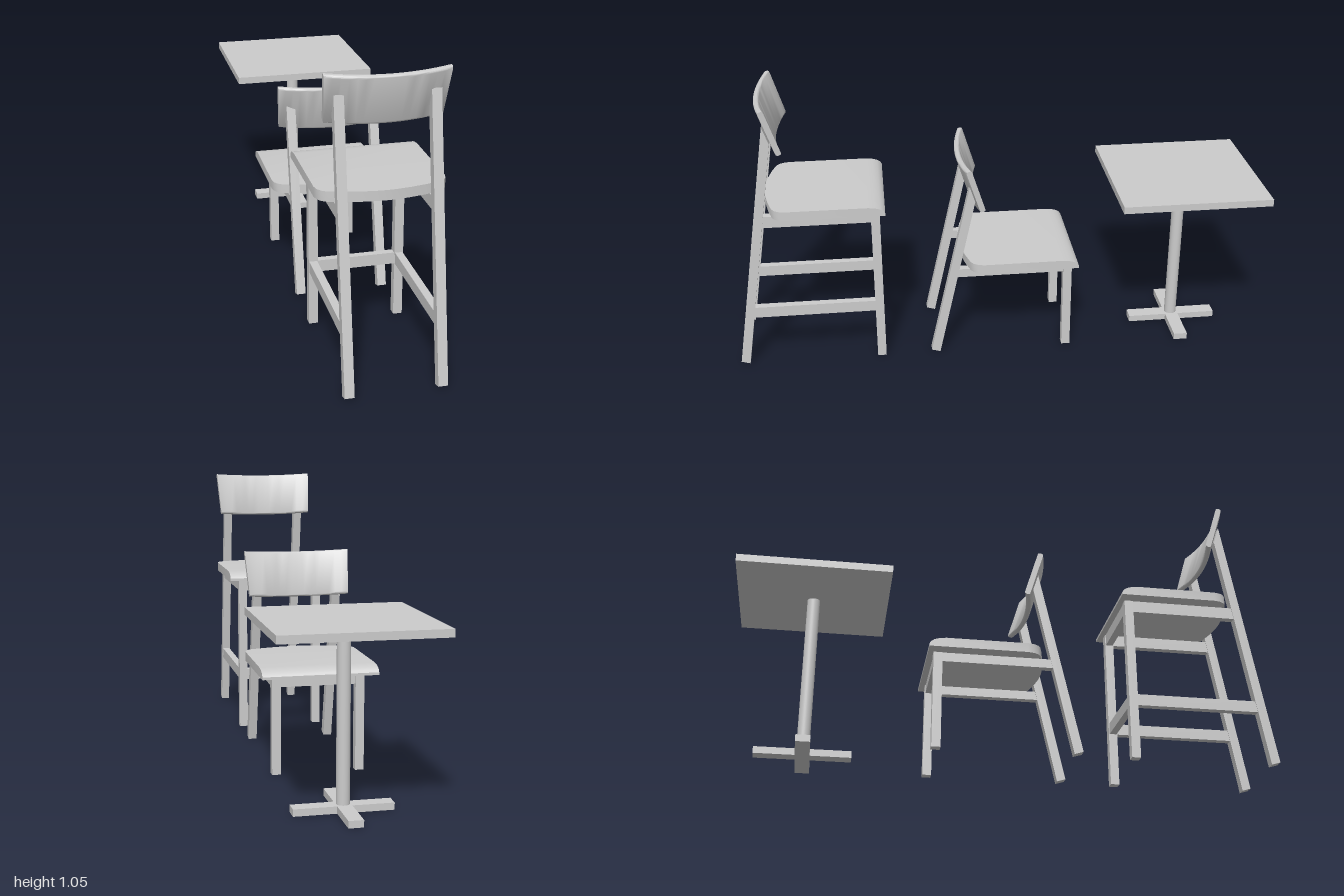
import * as THREE from 'three';
import { toCreasedNormals } from 'three/addons/utils/BufferGeometryUtils.js';

const material = new THREE.MeshStandardMaterial({ color: 0xcccccc });
const LEG = 0.033;        // leg thickness
const LEG_X = 0.174;      // outer face of the legs, from the chair's centre line

function add(parent, name, geometry, x = 0, y = 0, z = 0) {
  const mesh = new THREE.Mesh(geometry, material);
  mesh.name = name;
  mesh.position.set(x, y, z);
  parent.add(mesh);
  return mesh;
}

// Box given by its limits
function bar(parent, name, x0, x1, y0, y1, z0, z1) {
  return add(parent, name, new THREE.BoxGeometry(x1 - x0, y1 - y0, z1 - z0),
    (x0 + x1) / 2, (y0 + y1) / 2, (z0 + z1) / 2);
}

// Outline in (z, y), extruded across x and centred on x = 0
function extrudeAcross(shape, width, steps = 1) {
  const g = new THREE.ExtrudeGeometry(shape, { depth: width, steps, bevelEnabled: false, curveSegments: 4 });
  g.translate(0, 0, -width / 2);
  g.rotateY(-Math.PI / 2);
  g.scale(1, 1, 1);
  return g; // outline x now runs along z
}

// Seat: four-cornered sections from the waterfall front to the rounded back
function seatGeometry() {
  const rows = [ // z, half width, top height
    [0, 0.218, 0.01], [0.006, 0.218, 0.019], [0.018, 0.218, 0.027], [0.036, 0.218, 0.032],
    [0.06, 0.218, 0.035], [0.36, 0.218, 0.035], [0.382, 0.213, 0.035], [0.398, 0.203, 0.035],
    [0.409, 0.187, 0.035], [0.424, 0.135, 0.035], [0.435, 0.08, 0.035], [0.441, 0.03, 0.035], [0.442, 0, 0.035],
  ];
  const pos = [], idx = [];
  for (const [z, w, t] of rows) pos.push(-w, 0, z, w, 0, z, w, t, z, -w, t, z);
  for (let r = 0; r < rows.length - 1; r++) {
    for (let k = 0; k < 4; k++) {
      const a = r * 4 + k, b = r * 4 + (k + 1) % 4;
      idx.push(a, b, b + 4, a, b + 4, a + 4);
    }
  }
  idx.push(0, 2, 1, 0, 3, 2);
  const g = new THREE.BufferGeometry();
  g.setAttribute('position', new THREE.Float32BufferAttribute(pos, 3));
  g.setIndex(idx);
  return toCreasedNormals(g, 0.5);
}

// Backrest: rounded strip, bowed towards the sitter and narrower at the bottom
function backrestGeometry() {
  const h = 0.089, t = 0.0105, r = 0.009, half = 0.2;
  const s = new THREE.Shape();
  s.moveTo(-t + r, -h);
  s.lineTo(t - r, -h);
  s.quadraticCurveTo(t, -h, t, -h + r);
  s.lineTo(t, h - r);
  s.quadraticCurveTo(t, h, t - r, h);
  s.lineTo(-t + r, h);
  s.quadraticCurveTo(-t, h, -t, h - r);
  s.lineTo(-t, -h + r);
  s.quadraticCurveTo(-t, -h, -t + r, -h);
  const g = extrudeAcross(s, half * 2, 16);
  const p = g.attributes.position;
  for (let i = 0; i < p.count; i++) {
    const u = p.getX(i) / half;
    p.setX(i, p.getX(i) * (1 + 0.3 * p.getY(i)));
    p.setZ(i, p.getZ(i) - 0.028 * u * u);
  }
  g.rotateX(0.3);
  return toCreasedNormals(g, 0.6);
}

// Chair facing -z, with its seat front at z = 0
function createChair(name, { seatY, railY, foot, slope, stretcher }) {
  const chair = new THREE.Group();
  chair.name = name;
  add(chair, 'seat', seatGeometry(), -0.006, seatY, 0);
  add(chair, 'backrest', backrestGeometry(), 0, seatY + 0.328, 0.415);

  // Raked back legs, cut at a slant where they meet the backrest
  const topBack = seatY + 0.352, topFront = seatY + 0.285;
  const outline = new THREE.Shape([
    new THREE.Vector2(foot - LEG, 0),
    new THREE.Vector2(foot, 0.01),
    new THREE.Vector2(foot - slope * topBack, topBack),
    new THREE.Vector2(foot - LEG - slope * topFront, topFront),
  ]);
  const backAt = y => foot - LEG / 2 - slope * y; // middle of the back leg at height y
  const front = 0.02;

  for (const side of [-1, 1]) {
    const x = side * (LEG_X + 0.016 - LEG);
    add(chair, 'backLeg', extrudeAcross(outline, LEG), x);
    bar(chair, 'frontLeg', x - LEG / 2, x + LEG / 2, 0, seatY, front, front + LEG);
    bar(chair, 'sideRail', x - 0.014, x + 0.014, railY, seatY, front + LEG, backAt(seatY));
    if (stretcher) {
      bar(chair, 'sideStretcher', x - 0.014, x + 0.014, 0.203, 0.246, front + LEG, backAt(0.225));
    }
  }
  const inner = LEG_X + 0.016 - LEG * 1.5;
  bar(chair, 'frontRail', -inner, inner, railY, seatY, front + 0.003, front + LEG - 0.003);
  if (stretcher) bar(chair, 'frontStretcher', -inner, inner, 0.203, 0.246, front + 0.003, front + LEG - 0.003);
  return chair;
}

function createTable() {
  const table = new THREE.Group();
  table.name = 'table';
  bar(table, 'tableTop', -0.28, 0.28, 0.627, 0.654, -0.28, 0.28);
  const column = new THREE.CylinderGeometry(0.0235, 0.0235, 0.605, 32);
  add(table, 'column', column, 0, 0.3245, 0);
  // Crossed foot bars
  bar(table, 'footBar', -0.172, 0.176, 0, 0.025, -0.026, 0.026);
  for (const s of [-1, 1]) {
    bar(table, 'footBar', -0.026, 0.026, 0, 0.025, s > 0 ? 0.026 : -0.174, s > 0 ? 0.174 : -0.026);
  }
  return table;
}

export function createModel() {
  const model = new THREE.Group();
  model.name = 'cafeSet';

  const tall = createChair('tallChair', { seatY: 0.627, railY: 0.582, foot: 0.576, slope: 0.162, stretcher: true });
  tall.position.set(-0.019, 0, 0.424);
  const low = createChair('lowChair', { seatY: 0.362, railY: 0.328, foot: 0.564, slope: 0.22, stretcher: false });
  low.position.set(-0.019, 0, -0.297);
  const table = createTable();
  table.position.z = -0.72;

  model.add(tall, low, table);
  return model;
}
